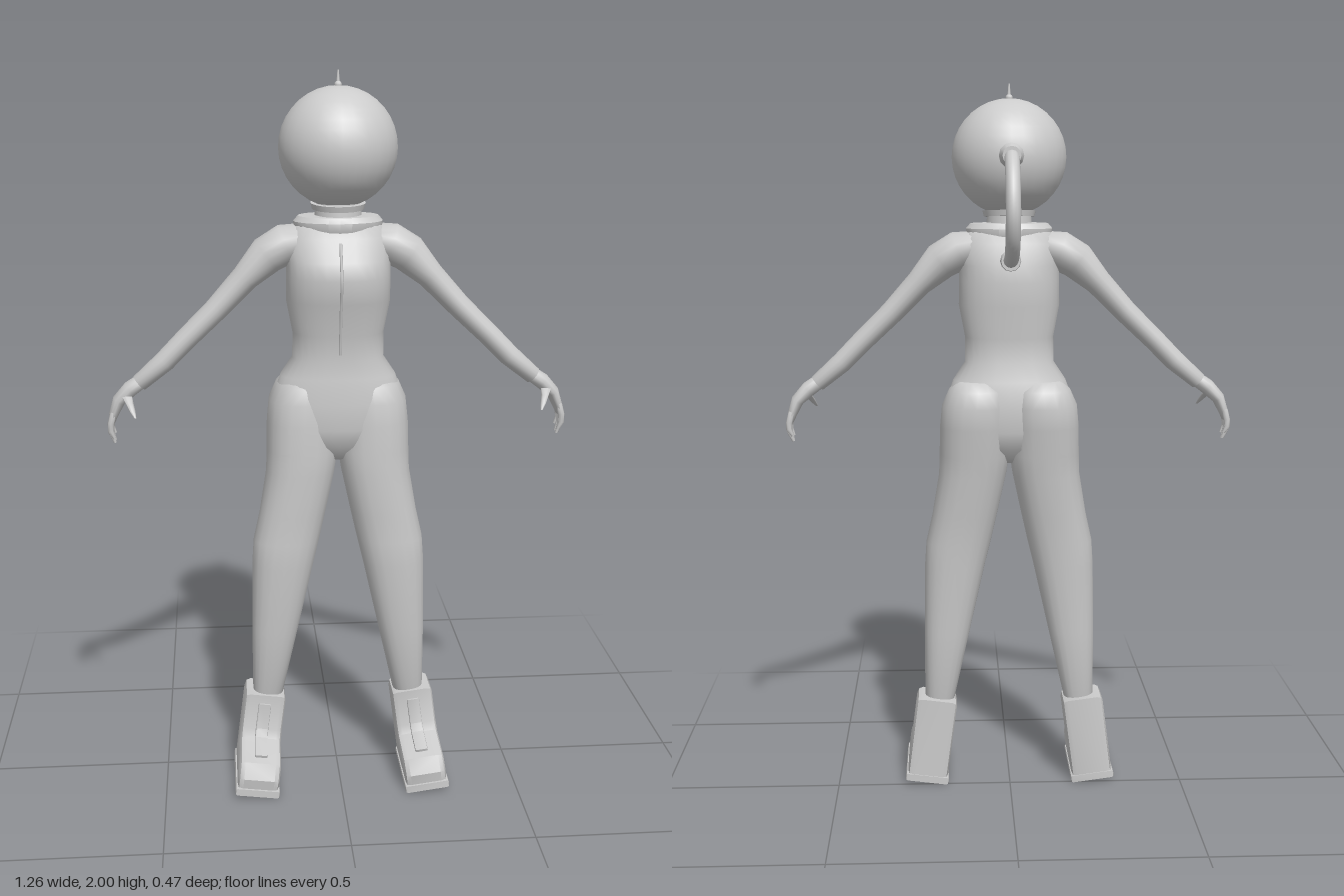
import * as THREE from 'three';
import { mergeVertices, toCreasedNormals } from 'three/addons/utils/BufferGeometryUtils.js';

const material = new THREE.MeshStandardMaterial({ color: 0xcccccc });
const V = (x, y, z) => new THREE.Vector3(x, y, z);

// Skin through elliptical sections [x, y, z, radius across, radius in z].
// With follow on, each section turns to stay square to the path in the xy plane.
function loft(sections, { follow = false, sides = 20, power = 1 } = {}) {
  const pos = [], idx = [], last = sections.length - 1;
  const bend = (t) => Math.sign(t) * Math.abs(t) ** power;
  sections.forEach(([x, y, z, ru, rv], i) => {
    let ux = 1, uy = 0;
    if (follow) {
      const p = sections[Math.max(i - 1, 0)], q = sections[Math.min(i + 1, last)];
      const dx = q[0] - p[0], dy = q[1] - p[1], l = Math.hypot(dx, dy);
      ux = -dy / l;
      uy = dx / l;
    }
    for (let j = 0; j < sides; j++) {
      const a = (j / sides) * Math.PI * 2, c = bend(Math.cos(a)) * ru;
      pos.push(x + ux * c, y + uy * c, z + bend(Math.sin(a)) * rv);
    }
  });
  for (let i = 0; i < last; i++) {
    for (let j = 0; j < sides; j++) {
      const k = (j + 1) % sides;
      const a = i * sides + j, b = i * sides + k;
      idx.push(a, b, a + sides, b, b + sides, a + sides);
    }
  }
  // End caps
  const n = pos.length / 3;
  pos.push(...sections[0].slice(0, 3), ...sections[last].slice(0, 3));
  for (let j = 0; j < sides; j++) {
    const k = (j + 1) % sides;
    idx.push(n, k, j, n + 1, last * sides + j, last * sides + k);
  }
  const g = new THREE.BufferGeometry();
  g.setAttribute('position', new THREE.Float32BufferAttribute(pos, 3));
  g.setIndex(idx);
  g.computeVertexNormals();
  return g;
}

// Reflected copy across x = 0 with the winding put right
function mirror(source) {
  const g = source.clone().applyMatrix4(new THREE.Matrix4().makeScale(-1, 1, 1));
  const a = g.index.array;
  for (let i = 0; i < a.length; i += 3) [a[i], a[i + 1]] = [a[i + 1], a[i]];
  return g;
}

const crease = (g, angle = 0.6) => mergeVertices(toCreasedNormals(g, angle));

// Side profile of [z, y] points given a width along x
function slab(points, width, bevel) {
  const g = new THREE.ExtrudeGeometry(new THREE.Shape(points.map(([z, y]) => new THREE.Vector2(z, y))), {
    depth: width - 2 * bevel, bevelEnabled: true, bevelThickness: bevel,
    bevelSize: bevel, bevelOffset: -bevel, bevelSegments: 2,
  });
  g.translate(0, 0, bevel - width / 2).rotateY(-Math.PI / 2);
  g.deleteAttribute('uv');
  return crease(g);
}

export function createModel() {
  const model = new THREE.Group();
  model.name = 'spaceSuit';
  const add = (name, geometry) => {
    const mesh = new THREE.Mesh(geometry, material);
    mesh.name = name;
    model.add(mesh);
  };
  const addPair = (name, geometry) => {
    add(name + 'Left', geometry);
    add(name + 'Right', mirror(geometry));
  };

  // Torso: y, half width, front z, back z
  add('torso', loft([
    [1.612, 0.105, 0.125, -0.015], [1.57, 0.145, 0.14, -0.035], [1.51, 0.14, 0.168, -0.048],
    [1.465, 0.14, 0.183, -0.052], [1.4, 0.141, 0.165, -0.048], [1.31, 0.124, 0.143, -0.035],
    [1.24, 0.125, 0.135, -0.032], [1.19, 0.158, 0.14, -0.05], [1.12, 0.183, 0.145, -0.06],
    [1.05, 0.185, 0.143, -0.055], [1.0, 0.15, 0.13, -0.04], [0.955, 0.04, 0.09, 0.01],
  ].map(([y, w, f, b]) => [0, y, (f + b) / 2, w, (f - b) / 2]), { sides: 28, power: 0.85 }));

  // Front zip
  add('zip', new THREE.TubeGeometry(new THREE.CatmullRomCurve3([
    V(0, 1.56, 0.144), V(0, 1.51, 0.168), V(0, 1.465, 0.182), V(0, 1.4, 0.165), V(0, 1.31, 0.143), V(0, 1.26, 0.137),
  ]), 20, 0.004, 6));

  // Legs: y, inner x, outer x, front z, back z
  addPair('leg', loft([
    [1.19, 0.03, 0.145, 0.11, -0.045], [1.165, 0.008, 0.17, 0.13, -0.07], [1.12, 0, 0.19, 0.14, -0.081],
    [1.06, 0, 0.196, 0.145, -0.074], [0.98, 0, 0.198, 0.145, -0.058], [0.92, 0.009, 0.2, 0.145, -0.05],
    [0.8, 0.035, 0.22, 0.14, -0.03], [0.72, 0.053, 0.238, 0.138, -0.02], [0.65, 0.07, 0.243, 0.14, -0.014],
    [0.45, 0.115, 0.246, 0.118, 0.003], [0.25, 0.16, 0.246, 0.095, 0.015],
  ].map(([y, i, o, f, b]) => [(i + o) / 2, y, (f + b) / 2, (o - i) / 2, (f - b) / 2]), { power: 0.85 }));

  // Boots, leaning outward toward the sole
  const place = (g) => g.rotateZ(0.13).translate(0.243, 0.008, 0);
  addPair('boot', place(slab([
    [-0.005, 0.012], [0.23, 0.012], [0.236, 0.05], [0.215, 0.093], [0.15, 0.112],
    [0.118, 0.122], [0.107, 0.145], [0.105, 0.25], [-0.005, 0.25],
  ], 0.118, 0.016)));
  addPair('sole', place(slab([[-0.008, 0], [0.238, 0], [0.238, 0.02], [-0.008, 0.02]], 0.126, 0.006)));
  addPair('bootStrap', place(slab([
    [0.09, 0.225], [0.112, 0.225], [0.114, 0.15], [0.126, 0.129], [0.195, 0.107], [0.19, 0.09], [0.09, 0.1],
  ], 0.036, 0.004)));

  // Arms from inside the shoulder to the wrist
  addPair('arm', loft([
    [0.08, 1.565, 0.05, 0.04, 0.065], [0.14, 1.548, 0.053, 0.055, 0.068], [0.19, 1.52, 0.057, 0.052, 0.06],
    [0.25, 1.46, 0.06, 0.037, 0.047], [0.33, 1.375, 0.064, 0.032, 0.04], [0.41, 1.298, 0.067, 0.03, 0.038],
    [0.47, 1.237, 0.068, 0.029, 0.034], [0.54, 1.178, 0.068, 0.024, 0.027],
  ], { follow: true, sides: 16 }));

  // Hands: palm, four fingers and a forward thumb
  addPair('palm', loft([
    [0.525, 1.19, 0.068, 0.02, 0.024], [0.565, 1.162, 0.067, 0.022, 0.029],
    [0.597, 1.13, 0.064, 0.018, 0.031], [0.613, 1.09, 0.063, 0.013, 0.029], [0.617, 1.07, 0.063, 0.008, 0.024],
  ], { follow: true, sides: 12 }));
  [1.032, 1.015, 1.012, 1.026].forEach((tip, i) => {
    const z = 0.041 + i * 0.0145;
    addPair('finger' + (i + 1), loft([
      [0.612, 1.1, z, 0.009, 0.007], [0.62, 1.07, z, 0.009, 0.0075],
      [0.621, (1.07 + tip) / 2, z, 0.008, 0.0065], [0.611, tip, z, 0.004, 0.004],
    ], { follow: true, sides: 8 }));
  });
  addPair('thumb', loft([
    [0.578, 1.15, 0.078, 0.016, 0.013], [0.567, 1.133, 0.108, 0.011, 0.011],
    [0.558, 1.115, 0.13, 0.008, 0.008], [0.55, 1.1, 0.147, 0.003, 0.004],
  ], { sides: 8 }));

  // Collar plate and neck rings
  const collar = [[0.1, 1.565], [0.118, 1.588], [0.12, 1.61], [0.108, 1.624], [0.07, 1.626], [0, 1.622]];
  add('collar', crease(new THREE.LatheGeometry(collar.map(([r, y]) => new THREE.Vector2(r, y)), 24)
    .scale(1, 1, 0.69).translate(0, 0, 0.055)));
  add('neck', new THREE.CylinderGeometry(0.06, 0.064, 0.06, 24).translate(0, 1.635, 0.058));
  add('neckRing', new THREE.CylinderGeometry(0.074, 0.07, 0.016, 24).rotateX(0.06).translate(0, 1.65, 0.058));

  // Helmet with its antenna
  add('helmet', new THREE.SphereGeometry(0.158, 28, 18).translate(0, 1.803, 0.058));
  add('antennaBase', new THREE.SphereGeometry(0.01, 10, 8).translate(0, 1.962, 0.058));
  add('antenna', new THREE.CylinderGeometry(0.002, 0.006, 0.045, 8).translate(0, 1.9775, 0.058));

  // Air hose from the back of the helmet to the upper back
  add('hose', new THREE.TubeGeometry(new THREE.CatmullRomCurve3([
    V(0, 1.806, -0.09), V(0, 1.797, -0.135), V(0, 1.76, -0.178), V(0, 1.7, -0.21),
    V(0, 1.64, -0.215), V(0, 1.58, -0.187), V(0, 1.542, -0.135), V(0, 1.525, -0.04),
  ]), 40, 0.02, 12));
  add('hoseFitting', new THREE.CylinderGeometry(0.025, 0.036, 0.036, 12)
    .rotateX(-Math.PI / 2).translate(0, 1.806, -0.107));
  add('hosePort', new THREE.CylinderGeometry(0.026, 0.03, 0.02, 12)
    .rotateX(-Math.PI / 2).translate(0, 1.525, -0.048));

  return model;
}
